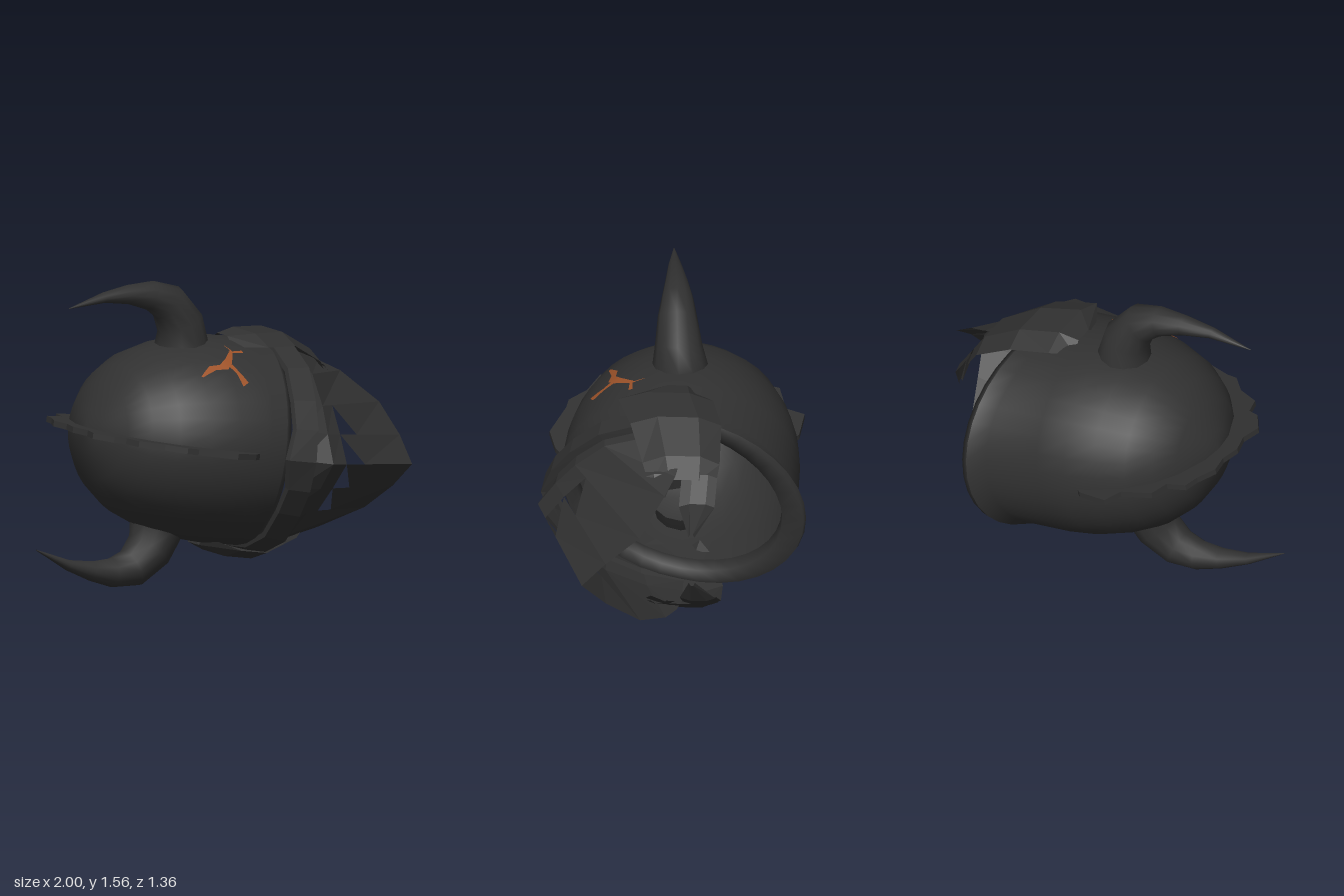
import * as THREE from 'three';

const V3 = (x, y, z) => new THREE.Vector3(x, y, z);
const darkIron = new THREE.MeshStandardMaterial({ color: 0x313131, side: THREE.DoubleSide });
const rustOrange = new THREE.MeshStandardMaterial({ color: 0x9c5229, side: THREE.DoubleSide });

// Skin a list of point rows; closed rows wrap around
function loft(rows, closed = false) {
  const n = rows[0].length, index = [];
  for (let i = 0; i < rows.length - 1; i++) {
    for (let j = 0; j < (closed ? n : n - 1); j++) {
      const a = i * n + j, b = i * n + (j + 1) % n, c = a + n, d = b + n;
      index.push(a, b, c, b, d, c);
    }
  }
  const g = new THREE.BufferGeometry().setFromPoints(rows.flat());
  g.setIndex(index);
  g.computeVertexNormals();
  return g;
}

// Flat-shaded faces from triangles and quads
function faces(list) {
  const pts = [];
  for (const f of list) for (let k = 1; k < f.length - 1; k++) pts.push(f[0], f[k], f[k + 1]);
  const g = new THREE.BufferGeometry().setFromPoints(pts);
  g.computeVertexNormals();
  return g;
}

// Dome outline: distance along the axis, relative radius
const PROFILE = [[-0.47, 0.01], [-0.455, 0.2], [-0.39, 0.47], [-0.31, 0.65], [-0.2, 0.8], [-0.05, 0.91], [0.1, 0.975], [0.25, 1]];
const HALF_Y = 0.525, HALF_Z = 0.6, MID_Z = -0.03;
function radius(u) {
  for (let i = 1; i < PROFILE.length; i++) {
    const [u0, r0] = PROFILE[i - 1], [u1, r1] = PROFILE[i];
    if (u <= u1) return r0 + (r1 - r0) * (u - u0) / (u1 - u0);
  }
  return 1;
}

function domeGeometries() {
  const ring = (uAt, rAt) => Array.from({ length: 36 }, (_, j) => {
    const a = j / 36 * Math.PI * 2, s = Math.sin(a), r = rAt(s);
    return V3(uAt(s), HALF_Y * r * Math.cos(a), MID_Z + HALF_Z * r * s);
  });
  const end = s => 0.53 - 0.14 * s;
  const flare = s => 1 + 0.08 * Math.max(0, -s);
  const rows = PROFILE.map(([u, r]) => ring(() => u, () => r));
  rows.push(ring(s => end(s) - 0.12, () => 1), ring(s => end(s) - 0.03, flare));
  const rim = [
    ring(s => end(s) - 0.03, flare),
    ring(end, s => flare(s) - 0.02),
    ring(s => end(s) - 0.02, () => 0.88),
    ring(s => end(s) - 0.1, () => 0.87),
    ring(s => end(s) - 0.14, () => 0.98),
  ];
  return [loft(rows, true), loft(rim, true)];
}

// Horn: centre u, v, z, radius in plane, radius across
const HORN = [
  [0.04, 0.4, -0.02, 0.145, 0.15], [0.024, 0.48, -0.018, 0.135, 0.14], [-0.005, 0.58, -0.01, 0.12, 0.12],
  [-0.1, 0.68, 0, 0.1, 0.1], [-0.215, 0.71, 0.005, 0.075, 0.08], [-0.346, 0.708, 0.015, 0.05, 0.058],
  [-0.5, 0.685, 0.03, 0.027, 0.034], [-0.71, 0.618, 0.045, 0.002, 0.002],
];
function hornGeometry(side) {
  const rows = HORN.map(([u, v, z, r, rz], i) => {
    const p = HORN[Math.max(0, i - 1)], q = HORN[Math.min(HORN.length - 1, i + 1)];
    const t = new THREE.Vector2(q[0] - p[0], q[1] - p[1]).normalize();
    return Array.from({ length: 12 }, (_, j) => {
      const a = j / 12 * Math.PI * 2, c = r * Math.cos(a);
      return V3(u - t.y * c, side * (v + t.x * c), z + rz * Math.sin(a));
    });
  });
  return loft(rows, true);
}

// Half face plate columns from the ridge outward
const TOP = [[0.43, 0, 0.62], [0.45, 0.15, 0.57], [0.47, 0.28, 0.48], [0.5, 0.42, 0.34], [0.52, 0.5, 0.15], [0.54, 0.52, -0.05]];
const PEAK = [[0.58, 0, 0.68], [0.58, 0.14, 0.59], [0.59, 0.27, 0.49], [0.6, 0.41, 0.34], [0.62, 0.49, 0.13], [0.64, 0.5, -0.05]];
const CHIN = [[1.21, 0, 0.43], [1.19, 0.13, 0.31], [1.15, 0.27, 0.14], [0.97, 0.4, 0.02], [0.86, 0.44, -0.03], [0.72, 0.48, -0.06]];
const full = half => [-5, -4, -3, -2, -1, 0, 1, 2, 3, 4, 5].map(j => {
  const [u, v, z] = half[Math.abs(j)];
  return V3(u, v * Math.sign(j), z);
});

function visorGeometry() {
  const top = full(TOP), peak = full(PEAK), chin = full(CHIN);
  const at = (j, t) => peak[j].clone().lerp(chin[j], t);
  const list = [];
  for (let j = 0; j < 10; j++) {
    const k = j + 1;
    list.push([top[j], peak[j], peak[k], top[k]]);
    if (j >= 3 && j < 7) {
      // Triangular mouth opening in each central strip
      list.push([peak[j], at(j, 0.17), at(k, 0.17), peak[k]]);
      list.push([at(j, 0.4), chin[j], chin[k], at(k, 0.17)]);
    } else list.push([peak[j], chin[j], chin[k], peak[k]]);
  }
  return faces(list);
}

function bandGeometry() {
  const top = full(TOP);
  const row = (du, s) => top.map((p, j) =>
    V3(p.x + du - (j === 5 && du < 0 ? 0.03 : 0), p.y * s, p.z * s + 0.012));
  const rows = [row(-0.07, 0.98), row(-0.065, 1.03), row(0.055, 1.06), row(0.06, 0.99)];
  const list = [];
  for (let i = 0; i < 3; i++) for (let j = 0; j < 10; j++)
    list.push([rows[i][j], rows[i + 1][j], rows[i + 1][j + 1], rows[i][j + 1]]);
  return faces(list);
}

// Curved plate: each section is u, v, back z, front z
function plateGeometry(sections, side, drop = 0.05) {
  const rows = sections.map(([u, v, z0, z1]) => [0, 0.25, 0.7, 1].map(t =>
    V3(u, side * (v - drop * (t === 0 || t === 1 ? 1 : 0)), z0 + (z1 - z0) * t)));
  const list = [];
  for (let i = 0; i < rows.length - 1; i++) for (let j = 0; j < 3; j++)
    list.push([rows[i][j], rows[i + 1][j], rows[i + 1][j + 1], rows[i][j + 1]]);
  return faces(list);
}
const EAR = [[0.26, 0.535, -0.12, 0.1], [0.36, 0.57, -0.2, 0.28], [0.56, 0.58, -0.25, 0.21], [0.77, 0.5, -0.25, 0.14], [0.85, 0.41, -0.23, 0.1]];
const TINES = [
  [[0.83, 0.43, -0.24, -0.06], [0.93, 0.32, -0.23, -0.05], [0.99, 0.17, -0.13, -0.1]],
  [[0.83, 0.43, -0.02, 0.12], [0.91, 0.36, 0.02, 0.1]],
];

// Serrated fin outline in the middle plane
function finGeometry() {
  const outer = [[0.2, 0.58], [0.16, 0.61], [0.03, 0.645], [-0.16, 0.57], [-0.22, 0.56], [-0.3, 0.47], [-0.42, 0.41], [-0.44, 0.32],
    [-0.5, 0.3], [-0.565, 0.2], [-0.535, 0.1], [-0.56, 0], [-0.535, -0.1], [-0.55, -0.2], [-0.5, -0.3], [-0.48, -0.38],
    [-0.38, -0.4], [-0.35, -0.5], [-0.19, -0.54], [-0.15, -0.635], [0.01, -0.615], [0.05, -0.58]];
  const inner = [[0.02, -0.55], [-0.15, -0.47], [-0.33, -0.31], [-0.41, -0.03], [-0.33, 0.25], [-0.15, 0.42], [0.18, 0.53]];
  const shape = new THREE.Shape([...outer, ...inner].map(p => new THREE.Vector2(p[0], p[1])));
  return new THREE.ExtrudeGeometry(shape, { depth: 0.03, bevelEnabled: false })
    .rotateX(Math.PI / 2).translate(0, 0.015, 0);
}

// Cracks painted on the dome: u, z, half width
const CRACKS = [
  [[-0.055, 0.34, 0.005], [0.02, 0.31, 0.02], [0.08, 0.32, 0.024], [0.12, 0.29, 0.02], [0.18, 0.21, 0.008], [0.17, 0.15, 0.003]],
  [[0.16, 0.22, 0.006], [0.24, 0.22, 0.01]],
  [[0.11, 0.3, 0.014], [0.14, 0.36, 0.01], [0.16, 0.42, 0.02]],
];
function crackGeometry(path, lift) {
  const onDome = (u, z) => {
    const r = radius(u), k = (z - MID_Z) / (HALF_Z * r);
    return V3(u, HALF_Y * r * Math.sqrt(Math.max(0, 1 - k * k)) + lift, z + lift * 0.6);
  };
  const steps = [];
  for (let i = 0; i < path.length - 1; i++) for (let s = 0; s < 3; s++)
    steps.push(path[i].map((a, c) => a + (path[i + 1][c] - a) * s / 3));
  steps.push(path[path.length - 1]);
  const a = path[0], b = path[path.length - 1];
  const d = new THREE.Vector2(b[0] - a[0], b[1] - a[1]).normalize();
  return loft([-1, 0, 1].map(s => steps.map(([u, z, w]) => onDome(u - s * d.y * w, z + s * d.x * w))));
}

export function createModel() {
  const model = new THREE.Group();
  model.name = 'hornedHelmet';
  const body = new THREE.Group();
  body.name = 'tiltedHelmet';
  body.position.set(-0.19, 0.73, 0);
  body.rotation.z = -0.16;
  model.add(body);
  const add = (name, geometry, material = darkIron) => {
    const mesh = new THREE.Mesh(geometry, material);
    mesh.name = name;
    body.add(mesh);
  };

  const [dome, rim] = domeGeometries();
  add('dome', dome);
  add('neckRim', rim);
  add('visor', visorGeometry());
  add('browBand', bandGeometry());
  add('crestFin', finGeometry());
  for (const side of [1, -1]) {
    const label = side > 0 ? 'upper' : 'lower';
    add(label + 'Horn', hornGeometry(side));
    add(label + 'EarPlate', plateGeometry(EAR, side));
    TINES.forEach(t => add(label + 'EarTine', plateGeometry(t, side, 0.02)));
  }
  for (const path of CRACKS) {
    add('outerCrack', crackGeometry(path, 0.007), rustOrange);
    add('innerCrack', crackGeometry(path, -0.009), rustOrange);
  }
  return model;
}
